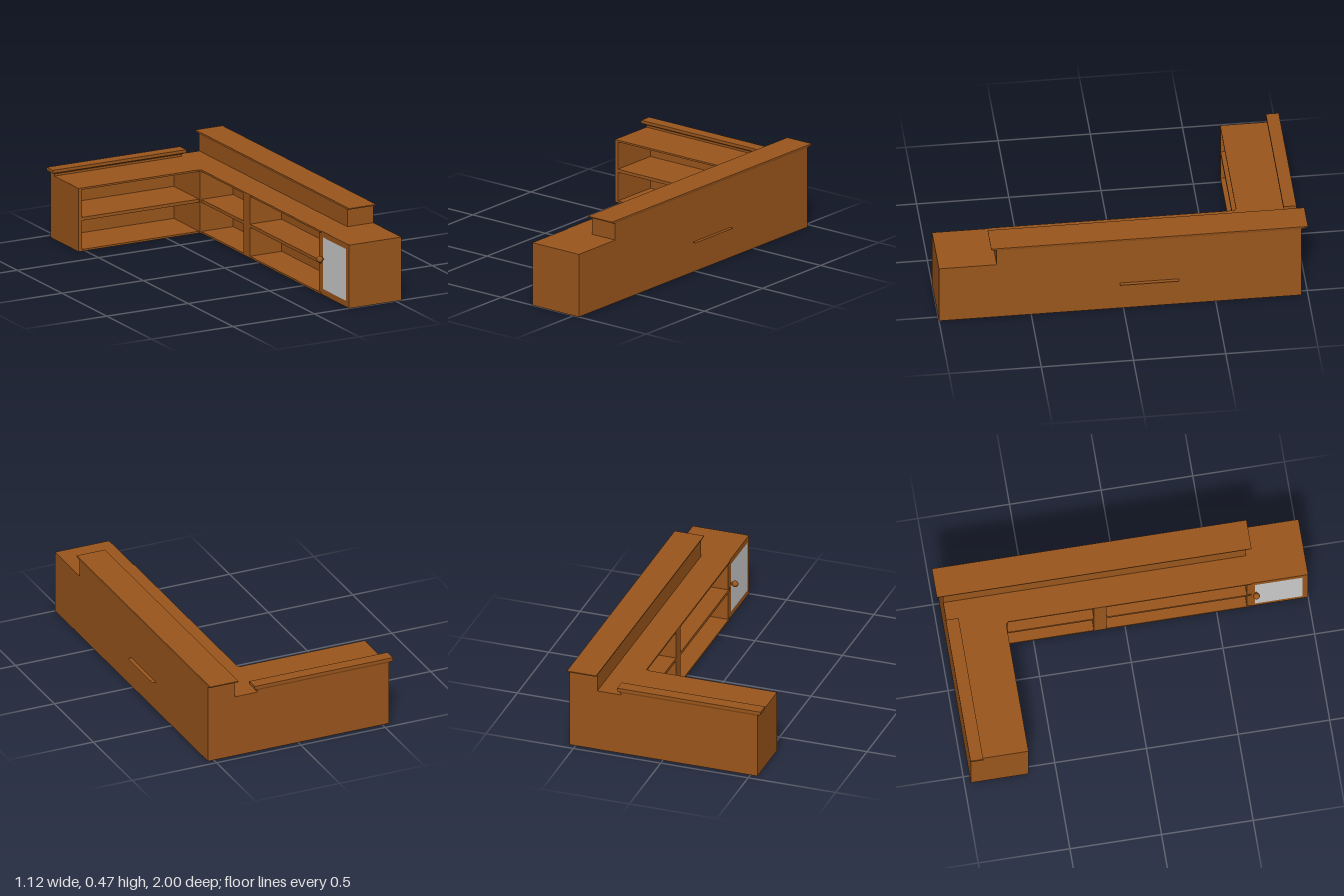
import * as THREE from 'three';

const wood = new THREE.MeshStandardMaterial({ color: 0x99551c });
const grey = new THREE.MeshStandardMaterial({ color: 0xcccccc, side: THREE.DoubleSide });
const thinWood = new THREE.MeshStandardMaterial({ color: 0x99551c, side: THREE.DoubleSide });

function add(parent, name, geometry, material = wood) {
  const mesh = new THREE.Mesh(geometry, material);
  mesh.name = name;
  parent.add(mesh);
  return mesh;
}

// Box given by its limits on each axis
function box(parent, name, [x0, x1], [y0, y1], [z0, z1]) {
  const mesh = add(parent, name, new THREE.BoxGeometry(x1 - x0, y1 - y0, z1 - z0));
  mesh.position.set((x0 + x1) / 2, (y0 + y1) / 2, (z0 + z1) / 2);
  return mesh;
}

// Stack of rectangles, bottom to top: each level is [y, x0, x1, z0, z1]
function moulding(parent, name, levels) {
  const n = levels.length - 1;
  const g = new THREE.BoxGeometry(1, 1, 1, 1, n, 1).toNonIndexed();
  const p = g.attributes.position;
  for (let i = 0; i < p.count; i++) {
    const [y, x0, x1, z0, z1] = levels[Math.round((p.getY(i) + 0.5) * n)];
    p.setXYZ(i, p.getX(i) < 0 ? x0 : x1, y, p.getZ(i) < 0 ? z0 : z1);
  }
  g.computeVertexNormals();
  return add(parent, name, g);
}

export function createModel() {
  const model = new THREE.Group();
  model.name = 'cornerCounter';

  const back = -0.965, top = 0.355;
  // Heights of the bottom board, middle shelf and top board
  const boards = [['bottomBoard', [0, 0.01]], ['middleShelf', [0.172, 0.19]], ['topBoard', [0.345, top]]];

  // Side wing, open to the front
  const wing = new THREE.Group();
  wing.name = 'wing';
  model.add(wing);
  for (const [name, y] of boards) box(wing, name, [-0.54, 0.21], y, [back, -0.65]);
  box(wing, 'endPanel', [-0.54, -0.52], [0, top], [back, -0.65]);
  box(wing, 'backPanel', [-0.54, 0.21], [0, top], [back, -0.93]);

  // Crown rail along the back of the wing
  moulding(wing, 'crownRail', [
    [0.355, -0.54, 0.24, back, -0.92],
    [0.367, -0.54, 0.24, back, -0.92],
    [0.378, -0.56, 0.26, -0.97, -0.9],
    [0.395, -0.56, 0.26, -0.97, -0.9],
  ]);

  // Solid corner joining wing and long counter
  box(model, 'corner', [0.2, 0.535], [0, top], [back, -0.64]);

  // Long counter, open toward the inside of the corner
  const counter = new THREE.Group();
  counter.name = 'longCounter';
  model.add(counter);
  for (const [name, y] of boards) box(counter, name, [0.21, 0.45], y, [-0.65, 0.69]);
  box(counter, 'divider', [0.21, 0.45], [0, top], [-0.17, -0.1]);
  box(counter, 'backPanel', [0.405, 0.535], [0, top], [back, 0.69]);

  // Raised ledge with its overhanging cap
  box(counter, 'raisedLedge', [0.375, 0.535], [0.34, 0.452], [back, 0.687]);
  moulding(counter, 'ledgeCap', [
    [0.45, 0.375, 0.535, back, 0.687],
    [0.459, 0.37, 0.537, -1, 0.717],
    [0.465, 0.37, 0.537, -1, 0.717],
  ]);

  // Thin outer lip on the long side
  const lip = add(counter, 'outerLip', new THREE.PlaneGeometry(0.025, 0.32), thinWood);
  lip.rotation.x = -Math.PI / 2;
  lip.position.set(0.544, 0.17, -0.14);

  // End cabinet with pane and knob
  const cabinet = new THREE.Group();
  cabinet.name = 'endCabinet';
  model.add(cabinet);
  box(cabinet, 'cabinetBody', [0.214, 0.535], [0, top], [0.665, 1]);
  const pane = add(cabinet, 'doorPane', new THREE.PlaneGeometry(0.26, 0.29), grey);
  pane.rotation.y = -Math.PI / 2;
  pane.position.set(0.212, 0.18, 0.84);
  const stem = add(cabinet, 'knobStem', new THREE.CylinderGeometry(0.006, 0.006, 0.03, 12));
  stem.rotation.z = Math.PI / 2;
  stem.position.set(0.205, 0.205, 0.715);
  const knob = add(cabinet, 'knob', new THREE.SphereGeometry(0.018, 20, 14));
  knob.position.set(0.191, 0.205, 0.715);

  return model;
}
